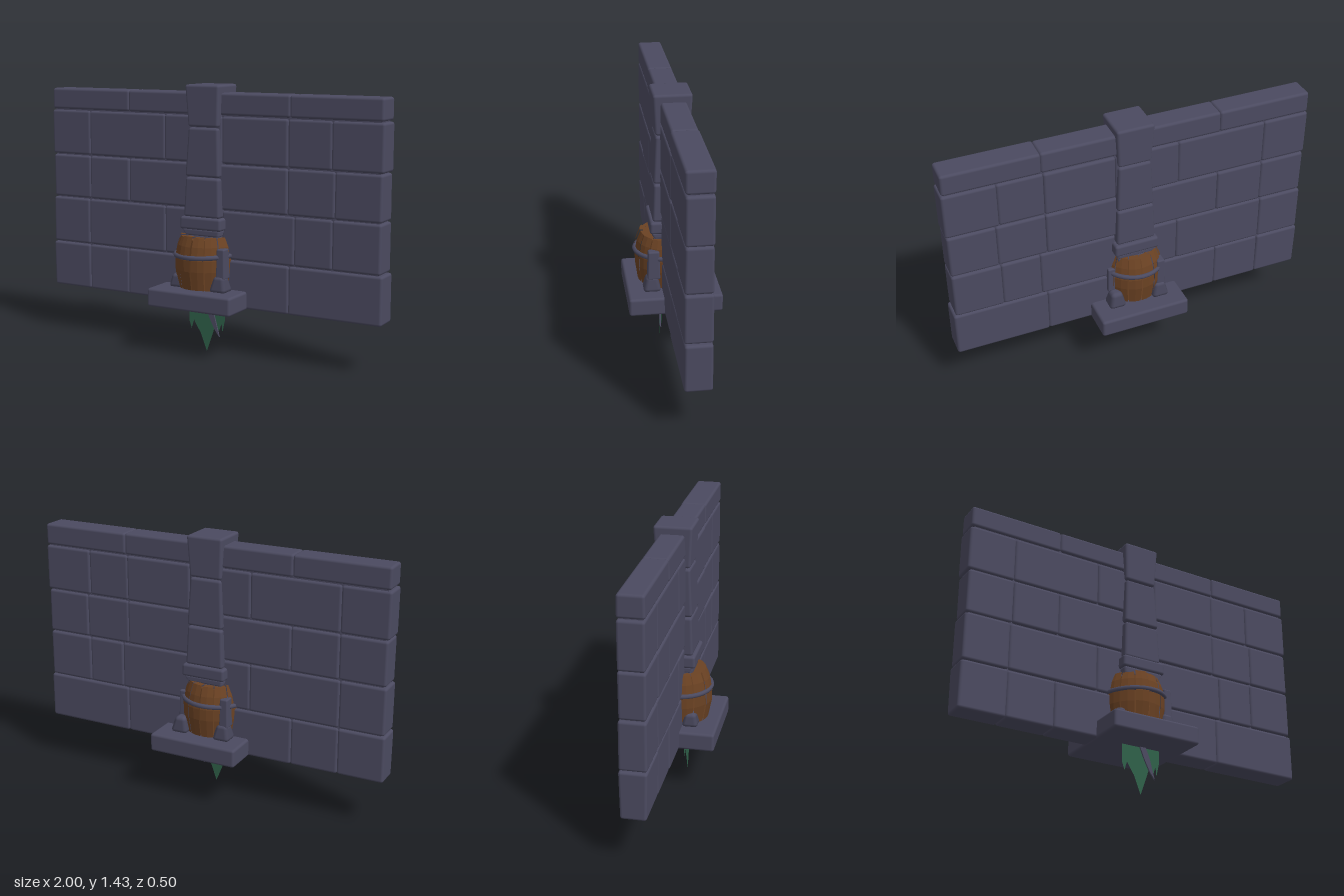
import * as THREE from 'three';
import { RoundedBoxGeometry } from 'three/addons/geometries/RoundedBoxGeometry.js';

const stone = new THREE.MeshStandardMaterial({ color: 0x4b4a60 });
stone.name = 'slate stone';
const wood = new THREE.MeshStandardMaterial({ color: 0x6b4223 });
wood.name = 'barrel wood';
const cloth = new THREE.MeshStandardMaterial({ color: 0x2f6049, side: THREE.DoubleSide });
cloth.name = 'green cloth';

// Seeded noise in the range -1 to 1
let seed = 7;
const wobble = () => {
  seed = (seed * 16807) % 2147483647;
  return (seed / 2147483647) * 2 - 1;
};

export function createModel() {
  const model = new THREE.Group();
  model.name = 'stoneWall';

  const add = (name, geometry, material, parent = model) => {
    const mesh = new THREE.Mesh(geometry, material);
    mesh.name = name;
    parent.add(mesh);
    return mesh;
  };

  // Rounded stone between two heights; half widths at the foot and the top
  const block = (name, x, z, y0, y1, foot, top, radius = 0.012, parent = model) => {
    const h = y1 - y0;
    const g = new RoundedBoxGeometry(2, h, 2, 2, radius);
    const p = g.attributes.position;
    for (let i = 0; i < p.count; i++) {
      const t = p.getY(i) / h + 0.5;
      const inset = (v, half) => Math.sign(v) * (half - (1 - Math.abs(v)));
      p.setX(i, inset(p.getX(i), THREE.MathUtils.lerp(foot[0], top[0], t)));
      p.setZ(i, inset(p.getZ(i), THREE.MathUtils.lerp(foot[1], top[1], t)));
    }
    const mesh = add(name, g, stone, parent);
    mesh.position.set(x, (y0 + y1) / 2, z);
    return mesh;
  };

  // Wall: a core behind the joints, then five courses of uneven blocks
  const wall = new THREE.Group();
  wall.name = 'wall';
  model.add(wall);
  add('wallCore', new THREE.BoxGeometry(1.95, 1.09, 0.11), stone, wall).position.set(0, 0.82, -0.004);
  const courses = [
    [0.26, 0.513, [-1, -0.75, -0.49, 0, 0.49, 1]],
    [0.517, 0.772, [-0.995, -0.75, -0.25, 0.1, 0.52, 0.73, 0.99]],
    [0.777, 1.015, [-0.99, -0.74, -0.48, 0, 0.48, 0.74, 0.99]],
    [1.02, 1.266, [-0.995, -0.74, -0.25, 0.1, 0.48, 0.72, 0.995]],
    [1.272, 1.387, [-0.99, -0.48, 0, 0.49, 0.99]],
  ];
  courses.forEach(([y0, y1, joints], row) => {
    for (let i = 0; i + 1 < joints.length; i++) {
      const half = (joints[i + 1] - joints[i]) / 2 + 0.001;
      const d = 0.068 + 0.003 * wobble();
      const e = 0.068 + 0.003 * wobble();
      block(row === 4 ? 'copingStone' : 'wallStone', (joints[i] + joints[i + 1]) / 2, -0.004,
        y0, y1, [half, d], [half, e], 0.014, wall);
    }
  });

  // Pillar, from the base slab to the cap
  const pillar = new THREE.Group();
  pillar.name = 'pillar';
  model.add(pillar);
  [
    ['baseSlab', 0.256, 0.355, 0.25, 0.25],
    ['pillarFoot', 0.35, 0.64, 0.115, 0.1],
    ['collarFlare', 0.63, 0.675, 0.1, 0.118],
    ['collar', 0.668, 0.735, 0.124, 0.122],
    ['lowerShaft', 0.733, 0.942, 0.108, 0.1],
    ['middleShaft', 0.947, 1.204, 0.102, 0.089],
    ['pillarCap', 1.208, 1.428, 0.09, 0.102],
  ].forEach(([name, y0, y1, foot, top]) =>
    block(name, 0, 0, y0, y1, [foot, foot], [top, top], 0.014, pillar));

  // Barrel of separate bulging staves around the pillar foot
  const barrel = new THREE.Group();
  barrel.name = 'barrel';
  barrel.position.set(-0.012, 0.355, 0.012);
  barrel.scale.x = 0.94;
  model.add(barrel);
  const staves = 14;
  for (let s = 0; s < staves; s++) {
    const height = 0.278 + 0.008 * wobble();
    const lift = 0.004 * wobble();
    const gap = 0.035;
    const arc = (Math.PI * 2) / staves - gap;
    const profile = [[0.13, 0], [0.167, 0], [0.184, 0.1], [0.185, 0.16], [0.172, 0.23], [0.152, height], [0.12, height]]
      .map(([r, y]) => new THREE.Vector2(r + (y > 0 ? lift : 0), y));
    const g = new THREE.LatheGeometry(profile, 2, (s * Math.PI * 2) / staves, arc).toNonIndexed();
    g.computeVertexNormals();
    add('stave', g, wood, barrel);
  }
  // Dark-free inner drum closes the gaps between staves
  add('barrelDrum', new THREE.CylinderGeometry(0.138, 0.157, 0.262, 20), wood, barrel).position.y = 0.131;

  // Iron hoop, slightly tilted
  const hoop = add('hoop', new THREE.TorusGeometry(0.182, 0.013, 8, 32), stone, barrel);
  hoop.position.y = 0.178;
  hoop.rotation.set(Math.PI / 2 + 0.02, 0.03, 0);

  // Rounded corner stones, with upright posts on some of them
  for (const sx of [-1, 1]) for (const sz of [-1, 1]) {
    if (sx < 0 && sz > 0) continue;
    block('cornerStone', sx * 0.125, sz * 0.118, 0.35, 0.437, [0.05, 0.05], [0.03, 0.03], 0.02);
    if (sx * sz > 0) block('cornerPost', sx * 0.132, sz * 0.108, 0.42, 0.58, [0.026, 0.034], [0.022, 0.03], 0.008);
  }
  block('sidePost', 0.135, -0.075, 0.42, 0.57, [0.022, 0.02], [0.02, 0.018], 0.008);
  block('leftCornerStone', -0.135, 0.105, 0.35, 0.425, [0.045, 0.045], [0.03, 0.03], 0.02);

  // Torn cloth hanging below the slab
  const torn = new THREE.Shape([
    [-0.1, 0.27], [-0.1, 0.16], [-0.085, 0.115], [-0.07, 0.165], [-0.05, 0.13], [-0.03, 0.1], [0.01, 0],
    [0.045, 0.1], [0.06, 0.145], [0.085, 0.12], [0.1, 0.165], [0.105, 0.115], [0.122, 0.19], [0.122, 0.27],
  ].map(([x, y]) => new THREE.Vector2(x, y)));
  add('tornCloth', new THREE.ShapeGeometry(torn), cloth).position.z = 0.062;

  // Thin splinter in front of the cloth
  const splinter = new THREE.Shape([
    [0.0, 0.262], [0.035, 0.262], [0.06, 0.2], [0.09, 0.09], [0.06, 0.13], [0.03, 0.19],
  ].map(([x, y]) => new THREE.Vector2(x, y)));
  add('splinter', new THREE.ExtrudeGeometry(splinter, { depth: 0.008, bevelEnabled: false }), stone).position.z = 0.063;

  return model;
}
